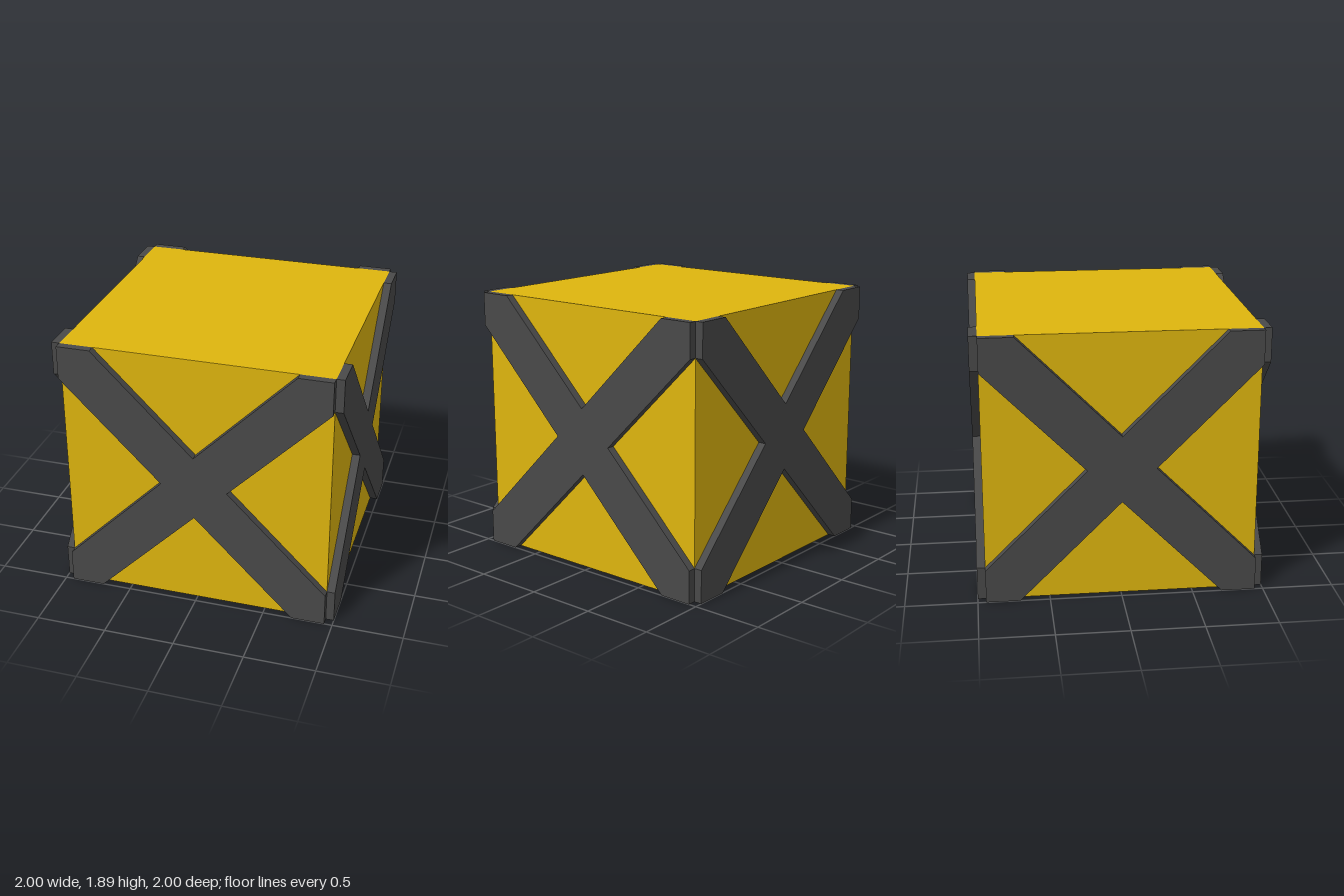
import * as THREE from 'three';

const H = 0.943;      // half the side of the box
const CUT = 0.236;    // brace width measured along the box edge
const DEPTH = 0.057;  // how far the braces stand out

// X-shaped outline filling a square face, with its four V notches
function crossShape() {
  const e = H - CUT;
  const points = [];
  for (let i = 0; i < 4; i++) {
    const c = Math.round(Math.cos(i * Math.PI / 2));
    const s = Math.round(Math.sin(i * Math.PI / 2));
    for (const [x, y] of [[CUT, 0], [H, e], [H, H], [e, H]]) {
      points.push(new THREE.Vector2(x * c - y * s, x * s + y * c));
    }
  }
  return new THREE.Shape(points);
}

export function createModel() {
  const model = new THREE.Group();
  model.name = 'bracedCrate';
  const yellow = new THREE.MeshStandardMaterial({ color: 0xdeb50e, flatShading: true });
  const darkGrey = new THREE.MeshStandardMaterial({ color: 0x494949, flatShading: true });

  // Solid box body
  const body = new THREE.Mesh(new THREE.BoxGeometry(2 * H, 2 * H, 2 * H), yellow);
  body.name = 'boxBody';
  body.position.y = H;
  model.add(body);

  // One crossed brace on each upright side; top and bottom stay plain
  const braceGeometry = new THREE.ExtrudeGeometry(crossShape(), { depth: DEPTH, bevelEnabled: false });
  braceGeometry.translate(0, 0, H);
  ['front', 'left', 'back', 'right'].forEach((side, i) => {
    const brace = new THREE.Mesh(braceGeometry, darkGrey);
    brace.name = side + 'CrossBrace';
    brace.position.y = H;
    brace.rotation.y = i * Math.PI / 2;
    model.add(brace);
  });

  return model;
}
